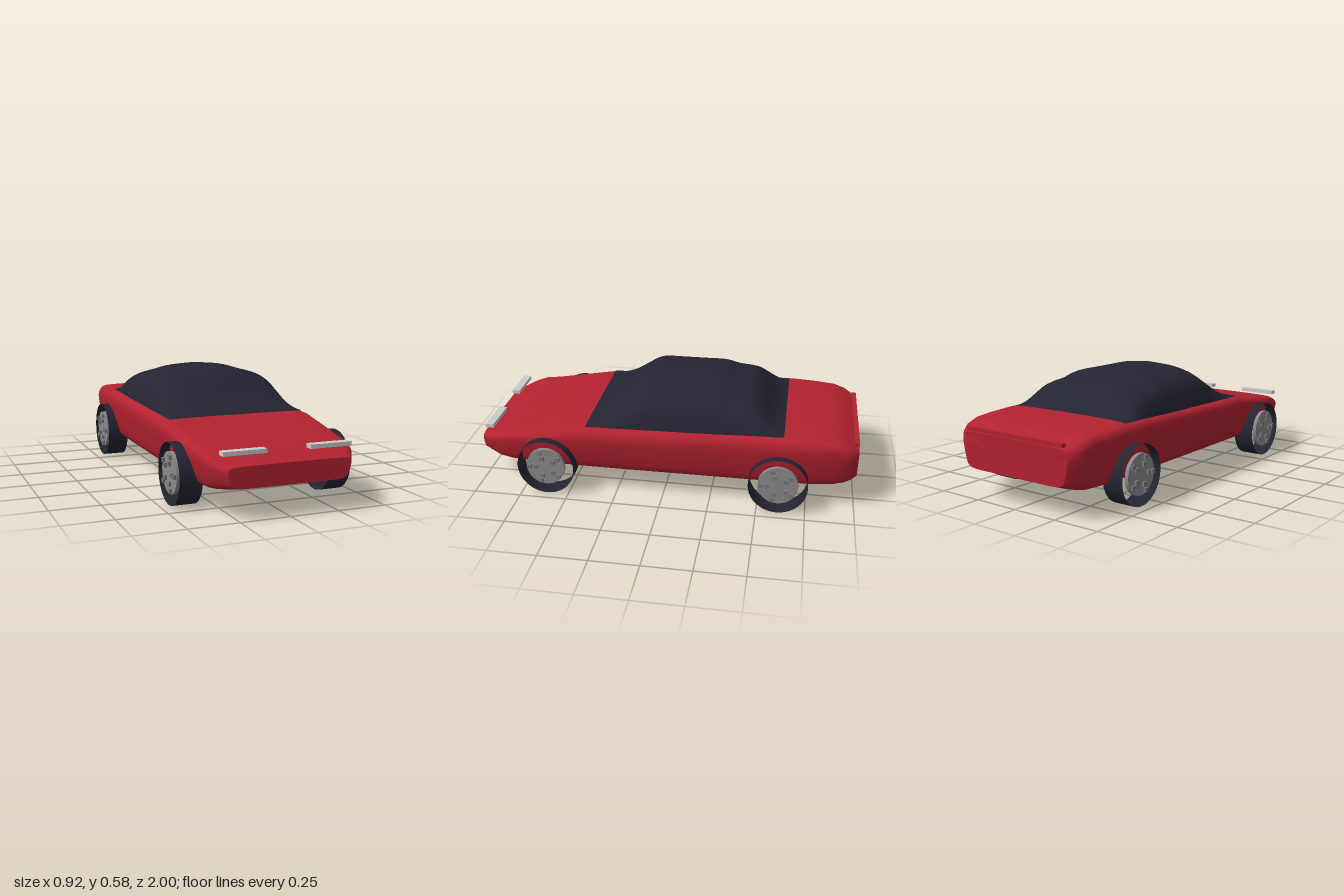
import * as THREE from 'three';
import { toCreasedNormals } from 'three/addons/utils/BufferGeometryUtils.js';

const flat = (name, color, side = THREE.FrontSide) => {
  const m = new THREE.MeshStandardMaterial({ color, side });
  m.name = name;
  return m;
};

// Skin a list of rings (front to back, each counterclockwise seen from +z), optionally closed and capped.
function loft(rings, closed, crease) {
  const n = rings[0].length, pos = rings.flat(2), index = [];
  const last = closed ? n : n - 1;
  for (let i = 0; i < rings.length - 1; i++) {
    for (let j = 0; j < last; j++) {
      const k = (j + 1) % n, a = i * n + j, b = i * n + k, c = b + n, d = a + n;
      index.push(a, d, b, b, d, c);
    }
  }
  if (closed) {
    [0, rings.length - 1].forEach((r) => {
      const ys = rings[r].map((p) => p[1]);
      const centre = pos.length / 3;
      pos.push(0, (Math.min(...ys) + Math.max(...ys)) / 2, rings[r][0][2]);
      for (let j = 0; j < n; j++) {
        const a = r * n + j, b = r * n + (j + 1) % n;
        if (r === 0) index.push(centre, a, b);
        else index.push(centre, b, a);
      }
    });
  }
  const geo = new THREE.BufferGeometry();
  geo.setAttribute('position', new THREE.Float32BufferAttribute(pos, 3));
  geo.setIndex(index);
  return toCreasedNormals(geo, crease);
}

const spline = (pts, count) =>
  new THREE.SplineCurve(pts.map(([x, y]) => new THREE.Vector2(x, y))).getPoints(count);

function bodyGeometry() {
  // Half section as fractions of half width and height, bottom centre to top centre
  const half = spline([[0, 0], [0.4, 0], [0.78, 0.01], [0.91, 0.09], [0.96, 0.32], [0.99, 0.58],
    [1, 0.76], [0.985, 0.88], [0.93, 0.96], [0.8, 0.985], [0.4, 1], [0, 1]], 33);
  const section = [...half, ...half.slice(1, -1).reverse().map((p) => new THREE.Vector2(-p.x, p.y))];
  // Stations: z, half width, bottom, top
  const stations = [
    [1, 0.31, 0.15, 0.253], [0.96, 0.335, 0.142, 0.262], [0.9, 0.37, 0.13, 0.288],
    [0.84, 0.382, 0.121, 0.309], [0.75, 0.392, 0.12, 0.317], [0.62, 0.402, 0.118, 0.338],
    [0.42, 0.409, 0.118, 0.372], [0.2, 0.41, 0.118, 0.377], [-0.2, 0.41, 0.118, 0.39],
    [-0.5, 0.41, 0.118, 0.4], [-0.65, 0.41, 0.118, 0.4], [-0.78, 0.406, 0.118, 0.395],
    [-0.88, 0.392, 0.12, 0.39], [-0.94, 0.383, 0.135, 0.37], [-0.97, 0.367, 0.145, 0.352],
    [-1, 0.335, 0.155, 0.34]];
  return loft(stations.map(([z, w, y0, y1]) =>
    section.map((p) => [p.x * w, y0 + p.y * (y1 - y0), z])), true, 0.75);
}

function cabinGeometry() {
  // Half section: x and fraction of the cabin height, from right edge to the crown
  const half = spline([[0.37, 0], [0.364, 0.12], [0.347, 0.35], [0.327, 0.54], [0.295, 0.69],
    [0.24, 0.83], [0.14, 0.95], [0, 1]], 18);
  const section = [...half, ...half.slice(0, -1).reverse().map((p) => new THREE.Vector2(-p.x, p.y))];
  // Roof line: z and height
  const roof = spline([[0.41, 0.376], [0.36, 0.393], [0.28, 0.437], [0.2, 0.503], [0.13, 0.557],
    [0.08, 0.577], [0, 0.578], [-0.15, 0.578], [-0.26, 0.577], [-0.34, 0.553], [-0.44, 0.537],
    [-0.5, 0.494], [-0.56, 0.435], [-0.62, 0.403]], 39);
  return loft(roof.map(({ x: z, y: top }) => {
    const base = 0.371 - (z - 0.41) * 0.02;
    return section.map((p) => [p.x, base + p.y * (top - base), z]);
  }), false, 0.9);
}

export function createModel() {
  const red = flat('red paint', 0xb32230);
  const dark = flat('dark glass and rubber', 0x242532, THREE.DoubleSide);
  const grey = flat('hub grey', 0x8a8a8c);
  const boltGrey = flat('bolt grey', 0x78787c);
  const pale = flat('lamp grey', 0xcbcbcb);

  const car = new THREE.Group();
  car.name = 'car';
  const add = (parent, name, geo, mat, x = 0, y = 0, z = 0) => {
    const mesh = new THREE.Mesh(geo, mat);
    mesh.name = name;
    mesh.position.set(x, y, z);
    parent.add(mesh);
    return mesh;
  };

  add(car, 'body', bodyGeometry(), red);
  add(car, 'cabin', cabinGeometry(), dark);
  add(car, 'rearSpoiler', new THREE.BoxGeometry(0.61, 0.018, 0.024), red, 0, 0.352, -0.988);

  // Wheels: open tyre band, hub disc and two rings of five bolts
  const tyre = new THREE.CylinderGeometry(0.152, 0.152, 0.115, 40, 1, true).rotateZ(Math.PI / 2);
  const hub = new THREE.CylinderGeometry(0.103, 0.103, 0.02, 40).rotateZ(Math.PI / 2);
  const bolt = new THREE.BoxGeometry(0.014, 0.022, 0.022);

  for (const side of [-1, 1]) {
    const sideName = side > 0 ? 'left' : 'right';
    add(car, sideName + 'Headlight', new THREE.BoxGeometry(0.215, 0.02, 0.042), pale,
      side * 0.217, 0.308, 0.953);
    for (const [end, z] of [['Front', 0.615], ['Rear', -0.605]]) {
      const wheel = new THREE.Group();
      wheel.name = sideName + end + 'Wheel';
      wheel.position.set(side * 0.3925, 0.152, z);
      add(wheel, 'tyre', tyre, dark);
      add(wheel, 'hub', hub, grey, side * 0.044, 0.004, 0);
      for (const r of [0.052, 0.085]) {
        for (let i = 0; i < 5; i++) {
          const a = i * Math.PI * 0.4;
          add(wheel, 'bolt', bolt, boltGrey, side * 0.059, 0.004 + r * Math.sin(a), r * Math.cos(a));
        }
      }
      car.add(wheel);
    }
  }
  return car;
}
